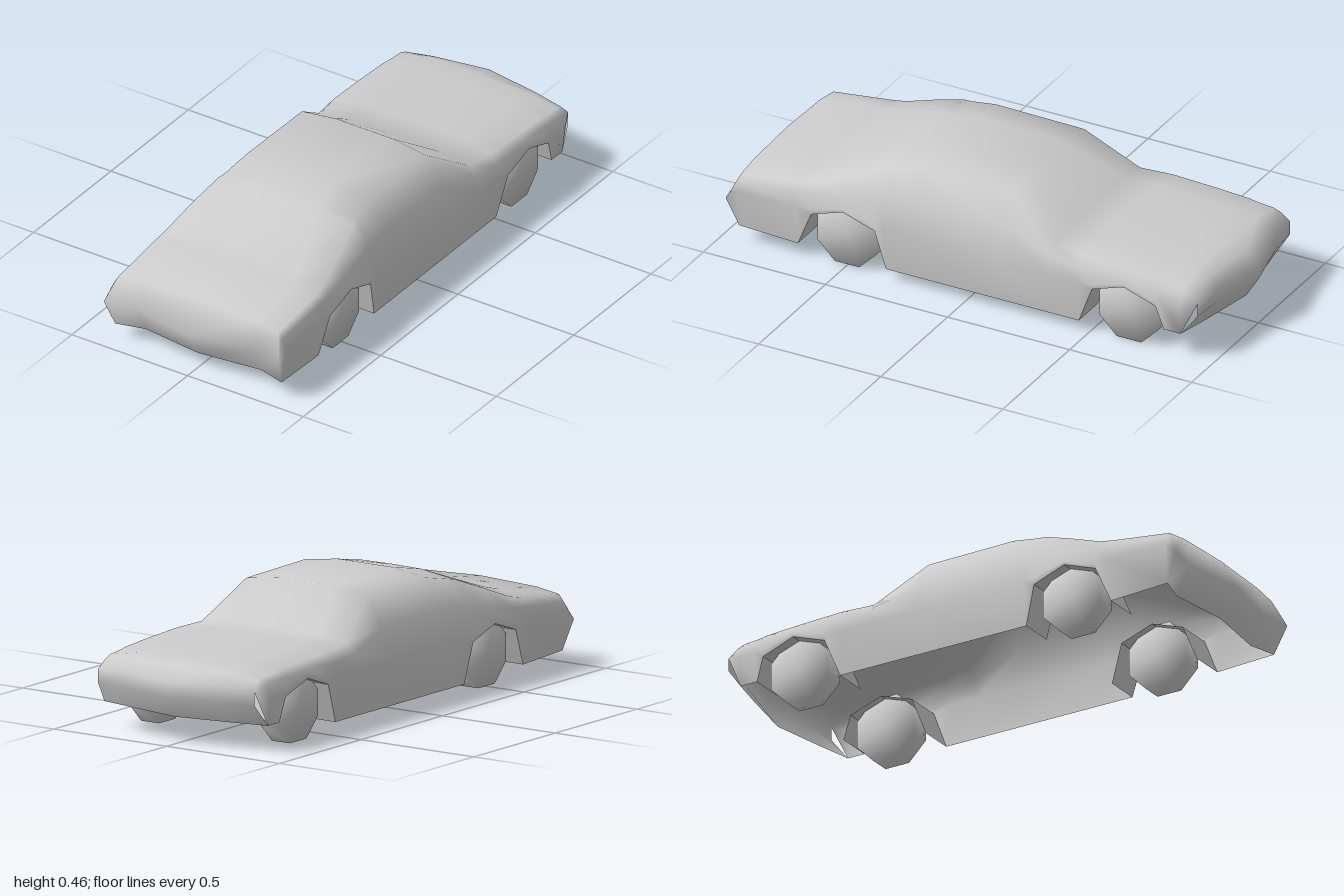
import * as THREE from 'three';
import { mergeVertices } from 'three/addons/utils/BufferGeometryUtils.js';

const material = new THREE.MeshStandardMaterial({ color: 0xcccccc, side: THREE.DoubleSide });

// Cross-sections, front to back:
// z, centre y, inner x, inner y, edge x, edge y, shoulder x, shoulder y, sill y
const SECTIONS = [
  [0.93, 0.29, 0.25, 0.28, 0.345, 0.265, 0.36, 0.24, 0.06],
  [0.69, 0.325, 0.25, 0.315, 0.345, 0.295, 0.36, 0.26, 0.05],
  [0.63, 0.338, 0.23, 0.33, 0.34, 0.308, 0.36, 0.27, 0.19],
  [0.5, 0.385, 0.18, 0.38, 0.318, 0.36, 0.35, 0.29, 0.235],
  [0.37, 0.432, 0.14, 0.43, 0.29, 0.41, 0.342, 0.31, 0.19],
  [0.33, 0.44, 0.13, 0.438, 0.28, 0.418, 0.338, 0.32, 0.04],
  [0.22, 0.46, 0.125, 0.46, 0.268, 0.44, 0.333, 0.33, 0.04],
  [-0.14, 0.455, 0.125, 0.455, 0.268, 0.435, 0.333, 0.33, 0.04],
  [-0.34, 0.325, 0.2, 0.322, 0.32, 0.305, 0.355, 0.27, 0.04],
  [-0.46, 0.32, 0.22, 0.317, 0.34, 0.3, 0.36, 0.26, 0.04],
  [-0.52, 0.318, 0.22, 0.315, 0.34, 0.298, 0.36, 0.26, 0.19],
  [-0.65, 0.313, 0.22, 0.31, 0.34, 0.293, 0.36, 0.265, 0.235],
  [-0.78, 0.308, 0.22, 0.303, 0.34, 0.285, 0.36, 0.26, 0.19],
  [-0.81, 0.306, 0.22, 0.3, 0.34, 0.28, 0.36, 0.255, 0.1],
  [-0.88, 0.3, 0.22, 0.295, 0.338, 0.275, 0.357, 0.25, 0.1],
];

// Half of a section, from centre line to sill
function halfSection([z, yC, xM, yM, xE, yE, xS, yS, ySill]) {
  const yBelt = Math.max(0.21, ySill + 0.012);
  const xSill = THREE.MathUtils.mapLinear(ySill, 0.04, 0.235, 0.358, 0.373);
  return [[0, yC, z], [xM, yM, z], [xE, yE, z], [xS, yS, z], [0.375, yBelt, z], [xSill, ySill, z]];
}

// Half of a bumper row; its side points gather in one corner
function bumperRow(y, zCentre, xMid, zMid, corner) {
  return [[0, y, zCentre], [xMid, y, zMid], corner, corner, corner, corner];
}

function bodyShell() {
  const sections = SECTIONS.map(halfSection);
  const tail = sections[sections.length - 1];
  const rows = [
    bumperRow(0.06, 0.93, 0.25, 0.9, sections[0][5]),
    bumperRow(0.17, 1.0, 0.25, 0.955, [0.378, 0.17, 0.975]),
    ...sections,
    [[0, 0.285, -0.95], [0.22, 0.28, -0.92], [0.335, 0.265, -0.91], ...tail.slice(3)],
    bumperRow(0.235, -1, 0.22, -0.95, [0.347, 0.23, -0.94]),
    bumperRow(0.18, -1, 0.22, -0.95, [0.347, 0.18, -0.94]),
    bumperRow(0.1, -0.95, 0.22, -0.91, tail[5]),
  ].map((half) => [
    ...half.slice().reverse(),
    ...half.slice(1).map(([x, y, z]) => [-x, y, z]),
  ]);
  const pos = [];
  for (let i = 0; i < rows.length - 1; i++) {
    for (let j = 0; j < rows[i].length - 1; j++) {
      const a = rows[i][j], b = rows[i][j + 1], c = rows[i + 1][j], d = rows[i + 1][j + 1];
      pos.push(...a, ...c, ...b, ...b, ...c, ...d);
    }
  }
  return smooth(geometryFrom(pos));
}

function geometryFrom(pos) {
  const g = new THREE.BufferGeometry();
  g.setAttribute('position', new THREE.Float32BufferAttribute(pos, 3));
  g.computeVertexNormals();
  return g;
}

// Weld corners so that shading runs over them
function smooth(g) {
  g.deleteAttribute('normal');
  g.deleteAttribute('uv');
  const welded = mergeVertices(g, 1e-4);
  welded.computeVertexNormals();
  return welded;
}

// Strip running inwards from a wheel opening
function archLining(first, side) {
  const edge = SECTIONS.slice(first, first + 5).map((s) => halfSection(s)[5]);
  const pos = [];
  for (let i = 0; i < edge.length - 1; i++) {
    const [a, b] = [edge[i], edge[i + 1]].map(([x, y, z]) => [side * x, y, z]);
    const c = [side * 0.22, a[1], a[2]], d = [side * 0.22, b[1], b[2]];
    if (side > 0) pos.push(...a, ...b, ...c, ...b, ...d, ...c);
    else pos.push(...a, ...c, ...b, ...b, ...c, ...d);
  }
  return geometryFrom(pos);
}

export function createModel() {
  const car = new THREE.Group();
  car.name = 'car';
  const add = (name, geometry) => {
    const mesh = new THREE.Mesh(geometry, material);
    mesh.name = name;
    car.add(mesh);
    return mesh;
  };

  add('bodyShell', bodyShell());

  // Eight-sided wheels and their arch linings
  const wheel = smooth(new THREE.CylinderGeometry(0.131, 0.131, 0.08, 8).rotateY(Math.PI / 8).rotateZ(Math.PI / 2));
  for (const [end, z, first] of [['front', 0.505, 1], ['rear', -0.65, 9]]) {
    for (const [hand, side] of [['Left', 1], ['Right', -1]]) {
      add(`${end}${hand}Wheel`, wheel).position.set(side * 0.29, 0.121, z);
      add(`${end}${hand}ArchLining`, archLining(first, side));
    }
  }
  return car;
}
